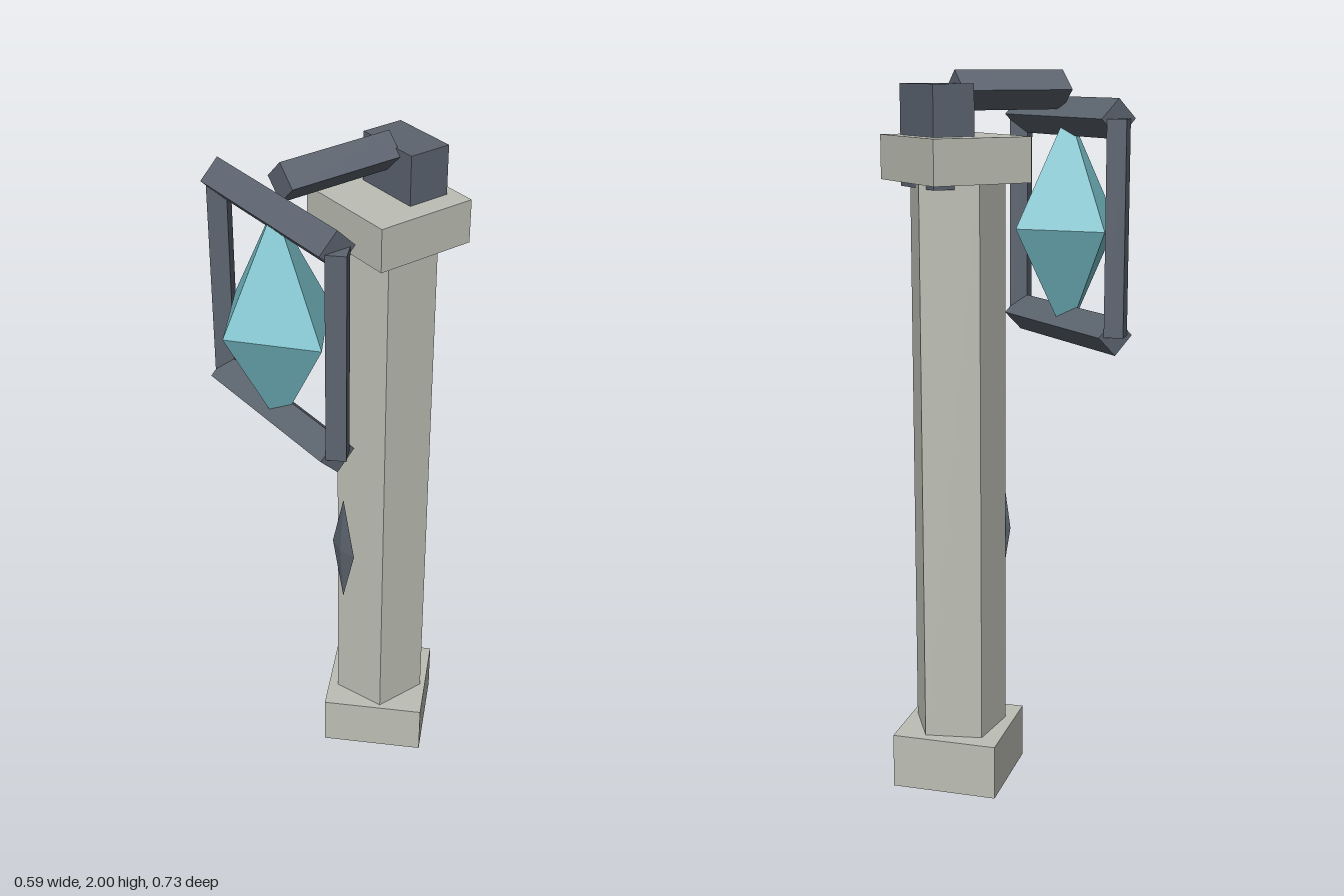
import * as THREE from 'three';

export function createModel() {
  const model = new THREE.Group();
  const paint = (color) => new THREE.MeshStandardMaterial({ color, flatShading: true });
  const stone = paint(0xbcbeb4);
  const iron = paint(0x5c646f);
  const crystal = paint(0x78bfc9);

  const add = (name, geometry, material, x, y, z) => {
    const mesh = new THREE.Mesh(geometry, material);
    mesh.name = name;
    mesh.position.set(x, y, z);
    model.add(mesh);
    return mesh;
  };
  const box = (w, h, d) => new THREE.BoxGeometry(w, h, d);
  const gem = (x, y, z) => new THREE.OctahedronGeometry(1).scale(x, y, z);

  const postZ = -0.153;
  const lampZ = 0.197;
  const lampY = 1.586;

  // Stone post: base turned on its corner, five-sided shaft, square cap
  add('base', box(0.3, 0.155, 0.3), stone, 0, 0.0775, postZ).rotation.y = Math.PI / 4;
  add('shaft', new THREE.CylinderGeometry(0.137, 0.137, 1.6, 5, 1, false, -Math.PI / 2),
    stone, 0, 0.94, postZ);
  add('cap', box(0.32, 0.12, 0.288), stone, 0, 1.77, -0.154);

  // Small diamond ornament in front of the shaft
  add('ornament', gem(0.052, 0.178, 0.012), iron, 0, 0.733, -0.012);

  // Iron block running through the cap, and the arm that reaches forward from it
  add('armBlock', box(0.197, 0.27, 0.12), iron, 0, 1.83, -0.207);
  add('arm', box(0.075, 0.075, 0.333), iron, 0, 1.947, 0.0135).rotation.z = Math.PI / 4;

  // Lantern frame of bars set on edge
  for (const s of [1, -1]) {
    add(s > 0 ? 'frameTop' : 'frameBottom', box(0.516, 0.075, 0.075), iron,
      0, lampY + s * 0.289, lampZ).rotation.x = Math.PI / 4;
    add(s > 0 ? 'frameLeft' : 'frameRight', box(0.053, 0.578, 0.053), iron,
      s * 0.258, lampY, lampZ).rotation.y = Math.PI / 4;
  }

  // Crystal held between the top and bottom bars
  add('crystal', gem(0.195, 0.32, 0.166), crystal, 0, 1.572, lampZ + 0.002);

  return model;
}
